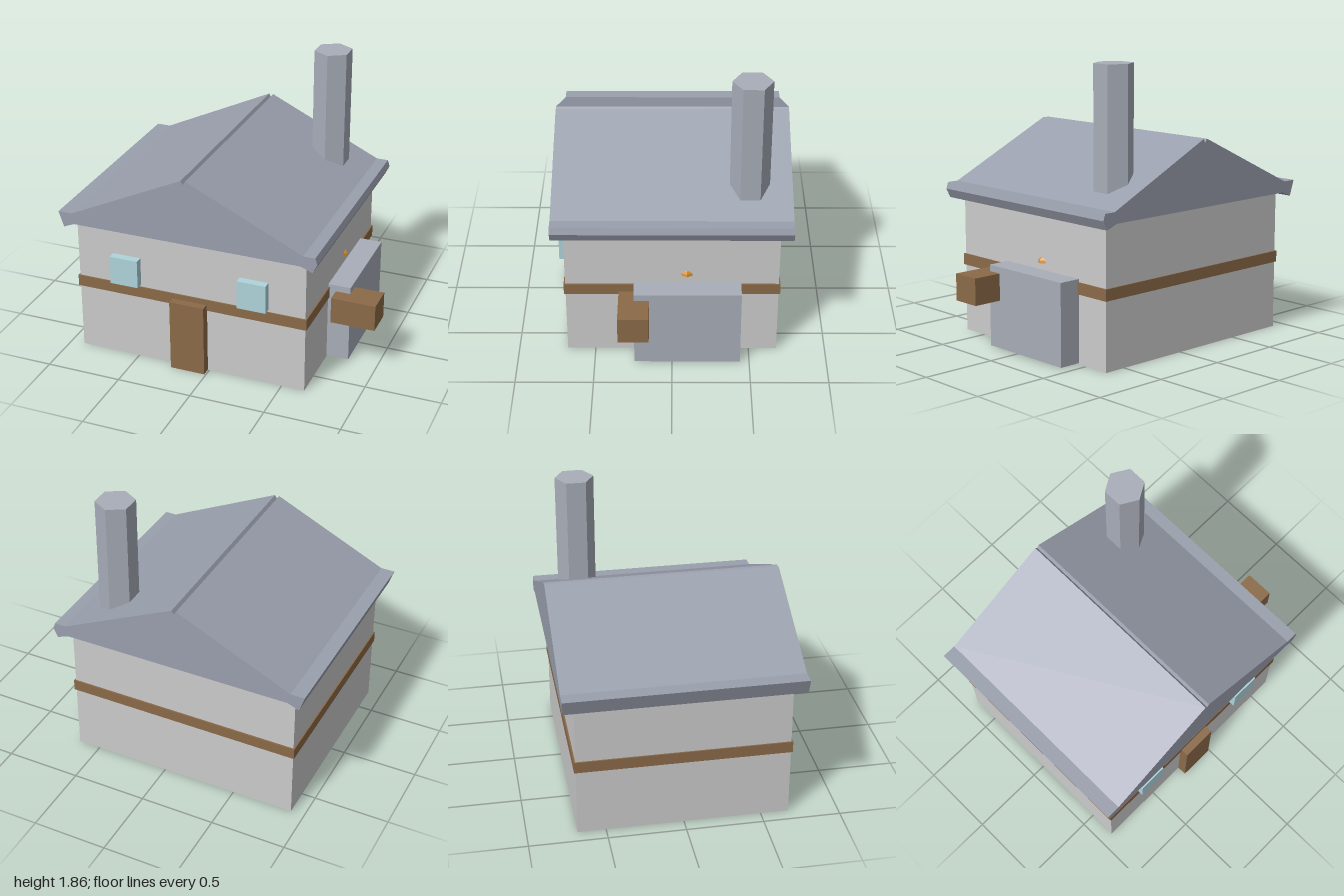
import * as THREE from 'three';

const mat = (color) => new THREE.MeshStandardMaterial({ color, flatShading: true });

export function createModel() {
  const house = new THREE.Group();
  house.name = 'house';
  const wall = mat(0xcccccc), slate = mat(0x9a9fad), stone = mat(0xa8adb8);
  const wood = mat(0x8b6a48), glass = mat(0xaed4dc), amber = mat(0xd89030);

  const add = (name, geometry, material) => {
    const mesh = new THREE.Mesh(geometry, material);
    mesh.name = name;
    house.add(mesh);
    return mesh;
  };
  // Box given by its minimum and maximum corners
  const box = (name, material, [x0, y0, z0], [x1, y1, z1]) =>
    add(name, new THREE.BoxGeometry(x1 - x0, y1 - y0, z1 - z0), material)
      .position.set((x0 + x1) / 2, (y0 + y1) / 2, (z0 + z1) / 2);

  // Walls and the timber band around them
  box('walls', wall, [-0.908, 0, -0.682], [0.653, 0.94, 0.682]);
  box('timberBand', wood, [-0.917, 0.45, -0.692], [0.663, 0.525, 0.692]);

  // Front door and windows
  box('door', wood, [-0.245, 0.002, 0.67], [-0.01, 0.49, 0.745]);
  for (const x of [-0.565, 0.31])
    box('window', glass, [x - 0.096, 0.54, 0.67], [x + 0.096, 0.732, 0.735]);

  // Side annex, the crate next to it and a small lamp above
  box('annex', stone, [0.64, 0.01, -0.44], [0.803, 0.545, 0.243]);
  box('crate', wood, [0.705, 0.325, 0.145], [1, 0.502, 0.34]);
  const lamp = add('lamp', new THREE.SphereGeometry(0.045, 6, 4, 0, Math.PI * 2, 0, Math.PI / 2), amber);
  lamp.position.set(0.63, 0.59, -0.095);

  // Gabled roof: one cross-section with flat-topped eaves and a notched ridge
  const section = new THREE.Shape([
    [-0.765, 0.935], [0.765, 0.935], [0.843, 0.905], [0.872, 0.965], [0.858, 1.008],
    [0.78, 1.008], [0.015, 1.37], [0, 1.345], [-0.015, 1.37], [-0.78, 1.008],
    [-0.873, 1.008], [-0.838, 0.905],
  ].map(([x, y]) => new THREE.Vector2(x - 0.125, y)));
  const roof = new THREE.ExtrudeGeometry(section, { depth: 1.52, bevelEnabled: false });
  roof.translate(0, 0, -0.76);
  add('roof', roof, slate);

  // Hexagonal chimney
  const chimney = add('chimney', new THREE.CylinderGeometry(0.127, 0.127, 0.86, 6), stone);
  chimney.position.set(0.408, 1.43, -0.49);

  return house;
}
